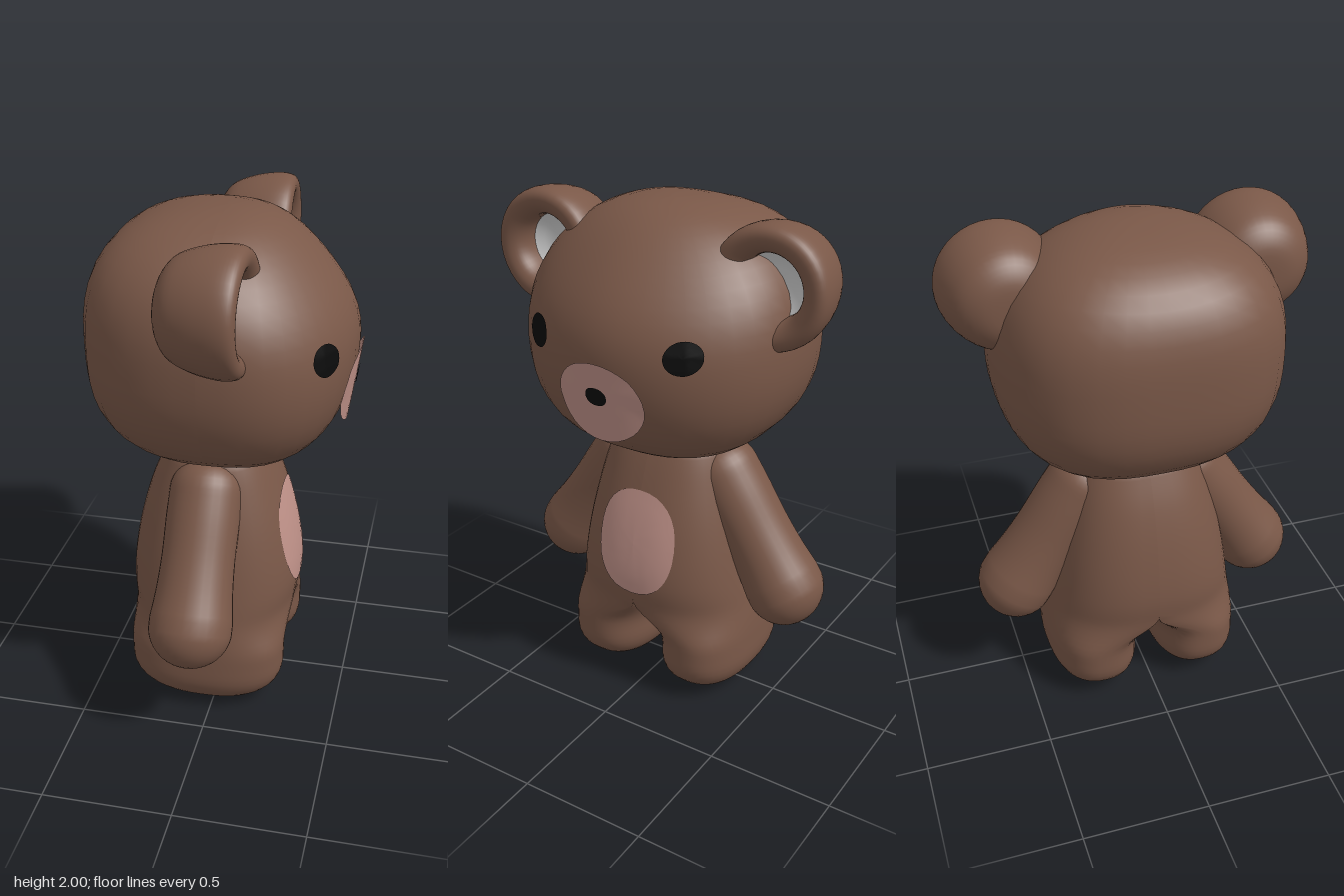
import * as THREE from 'three';
import { toCreasedNormals } from 'three/addons/utils/BufferGeometryUtils.js';

const paint = (color) => new THREE.MeshStandardMaterial({ color, roughness: 0.9, side: THREE.DoubleSide });
const brown = paint(0x7a5848);
const pink = paint(0xbf9188);
const black = paint(0x0b0b0b);
const grey = paint(0xcccccc);

const spow = (v, p) => Math.sign(v) * Math.abs(v) ** p;
const V2 = (x, y) => new THREE.Vector2(x, y);

function mesh(name, geometry, material) {
  const m = new THREE.Mesh(geometry, material);
  m.name = name;
  return m;
}

// Mirrored copy across x = 0, with the winding kept outward
function mirrored(geometry) {
  const g = geometry.clone();
  g.scale(-1, 1, 1);
  const idx = g.index.array;
  for (let i = 0; i < idx.length; i += 3) [idx[i], idx[i + 1]] = [idx[i + 1], idx[i]];
  return g;
}

// Rounded head: a sphere pushed out to a superellipsoid, boxier at the back
function headGeometry() {
  const g = new THREE.SphereGeometry(1, 40, 28);
  const p = g.attributes.position;
  const d = new THREE.Vector3();
  for (let i = 0; i < p.count; i++) {
    d.fromBufferAttribute(p, i).normalize();
    const n = 2.4 - 0.15 * d.y - 0.4 * d.z - 0.45 * d.y * d.z;
    const r = (Math.abs(d.x) ** n + Math.abs(d.y) ** n + Math.abs(d.z) ** n) ** (-1 / n);
    p.setXYZ(i, 0.55 * r * d.x, 1.52 + 0.48 * r * d.y, (d.z > 0 ? 0.5 : 0.515) * r * d.z);
  }
  g.computeVertexNormals();
  return g;
}

// Half of the torso with its leg: D-shaped sections that turn into a round leg
function halfBodyGeometry() {
  const heights = [0, 0.16, 0.3, 0.38, 0.5, 0.7, 0.9, 1.05, 1.1];
  // half width, front z, back z
  const sizes = new Float32Array([
    0.4, 0.268, -0.352, 0.402, 0.272, -0.356, 0.397, 0.276, -0.36,
    0.388, 0.286, -0.37, 0.37, 0.3, -0.38, 0.335, 0.275, -0.355,
    0.287, 0.22, -0.3, 0.242, 0.16, -0.235, 0.22, 0.13, -0.21]);
  const profile = new THREE.CubicInterpolant(heights, sizes, 3);
  const rows = [];
  for (let i = 10; i > 0; i--) {
    const a = (i / 10) * Math.PI / 2;
    rows.push([0.16 - 0.16 * Math.sin(a) ** 0.95, Math.max(0, Math.cos(a)) ** 0.75]);
  }
  for (let i = 0; i <= 36; i++) rows.push([0.16 + 0.89 * i / 36, 1]);
  for (let i = 1; i <= 6; i++) {
    const a = (i / 6) * Math.PI / 2;
    rows.push([1.05 + 0.04 * Math.sin(a), Math.max(0, Math.cos(a)) ** 0.8]);
  }
  const N = 48, pos = [], idx = [];
  rows.forEach(([y, k], i) => {
    const [W, zf, zb] = profile.evaluate(y);
    const leg = 1 - THREE.MathUtils.smoothstep(y, 0.24, 0.41);
    const gap = 0.032 * (1 - THREE.MathUtils.smoothstep(y, 0.2, 0.35));
    const c = 0.212 * leg;
    for (let j = 0; j <= N; j++) {
      const a = (j / N) * Math.PI * 2;
      const cx = spow(Math.cos(a), 2 / 2.4), sz = spow(Math.sin(a), 2 / 2.4);
      const w = cx > 0 ? W - c : Math.max(0, c - gap);
      pos.push(c + k * w * cx, y, (zf + zb) / 2 + k * sz * (zf - zb) / 2);
      if (i && j) {
        const b = i * (N + 1) + j, a0 = b - N - 1;
        idx.push(a0 - 1, b - 1, a0, a0, b - 1, b);
      }
    }
  });
  const g = new THREE.BufferGeometry();
  g.setAttribute('position', new THREE.Float32BufferAttribute(pos, 3));
  g.setIndex(idx);
  return g;
}

// Arm: a long rounded lathe, fuller at the hand
function armGeometry() {
  const pts = [];
  for (let i = 0; i <= 9; i++) {
    const a = (i / 9) * 1.45;
    pts.push(V2(0.155 * Math.sin(a), -0.155 * Math.cos(a)));
  }
  const side = new THREE.SplineCurve([V2(0.154, 0.03), V2(0.142, 0.14), V2(0.136, 0.27), V2(0.137, 0.42), V2(0.135, 0.53)]);
  pts.push(...side.getPoints(14));
  for (let i = 1; i <= 9; i++) {
    const a = (i / 9) * Math.PI / 2;
    pts.push(V2(Math.max(0, 0.135 * Math.cos(a)), 0.53 + 0.13 * Math.sin(a)));
  }
  const g = new THREE.LatheGeometry(pts, 32);
  g.scale(1, 1, 1.05);
  g.rotateZ(0.57);
  g.translate(0.51, 0.485, -0.042);
  return g;
}

// Turn a lathe (axis y) to face +z and place it at the ear
function atEar(g) {
  g.rotateX(Math.PI / 2);
  g.rotateY(0.04);
  g.translate(0.475, 1.768, 0);
  return g;
}

// Ear cup: domed back, rolled rim, hollow front
function earGeometry() {
  const pts = new THREE.SplineCurve([
    V2(0, -0.145), V2(0.1, -0.137), V2(0.175, -0.09), V2(0.212, -0.01), V2(0.229, 0.08), V2(0.226, 0.14),
    V2(0.205, 0.167), V2(0.17, 0.168), V2(0.138, 0.145), V2(0.122, 0.1), V2(0.12, 0.03)]).getPoints(40);
  pts[0].x = 0;
  return atEar(new THREE.LatheGeometry(pts, 40));
}

const innerEarGeometry = () => atEar(new THREE.LatheGeometry(
  [V2(0, 0.03), V2(0.05, 0.034), V2(0.09, 0.045), V2(0.125, 0.07)], 32));

// Height of the front surface of some meshes at (x, y)
function frontOf(meshes, lift) {
  const ray = new THREE.Raycaster();
  const dir = new THREE.Vector3(0, 0, -1);
  meshes.forEach((m) => m.updateMatrixWorld());
  return (x, y) => {
    ray.set(new THREE.Vector3(x + 1.3e-4, y + 1.1e-4, 2), dir);
    const hit = ray.intersectObjects(meshes, false)[0];
    return (hit ? hit.point.z : 0) + lift;
  };
}

// Thin rounded patch laid over a surface
function patch(name, material, [cx, cy], [rx, ry], zAt, n = 2) {
  const g = new THREE.RingGeometry(0.001, 1, 32, 5);
  const p = g.attributes.position;
  for (let i = 0; i < p.count; i++) {
    const r = Math.hypot(p.getX(i), p.getY(i));
    const x = cx + rx * r * spow(p.getX(i) / r, 2 / n);
    const y = cy + ry * r * spow(p.getY(i) / r, 2 / n);
    p.setXYZ(i, x, y, zAt(x, y));
  }
  g.computeVertexNormals();
  return mesh(name, g, material);
}

export function createModel() {
  const bear = new THREE.Group();
  bear.name = 'bear';

  const head = mesh('head', headGeometry(), brown);
  bear.add(head);

  // Paired parts
  const pair = (name, g, material, finish = (x) => x) => {
    const both = [mesh('left' + name, finish(g), material), mesh('right' + name, finish(mirrored(g)), material)];
    bear.add(...both);
    return both;
  };
  const body = pair('BodyAndLeg', halfBodyGeometry(), brown, (g) => toCreasedNormals(g, 0.9));
  pair('Arm', armGeometry(), brown);
  pair('Ear', earGeometry(), brown);
  pair('InnerEar', innerEarGeometry(), grey);

  // Face and belly patches
  const onHead = frontOf([head], 0.007);
  const muzzle = patch('muzzle', pink, [0, 1.36], [0.183, 0.157],
    (x, y) => Math.max(onHead(x, y), 0.512 - 0.9 * x * x - 0.15 * (1.5 - y)));
  bear.add(
    muzzle,
    patch('nose', black, [-0.003, 1.386], [0.045, 0.035], frontOf([muzzle], 0.004), 2.2),
    patch('rightEye', black, [-0.31, 1.552], [0.062, 0.06], onHead),
    patch('leftEye', black, [0.31, 1.567], [0.062, 0.06], onHead),
    patch('bellyPatch', pink, [0, 0.677], [0.173, 0.215], frontOf(body, 0.005), 2.3));

  // The bear looks along +x
  bear.rotation.y = Math.PI / 2;
  const model = new THREE.Group();
  model.name = 'toyBear';
  model.add(bear);
  return model;
}
